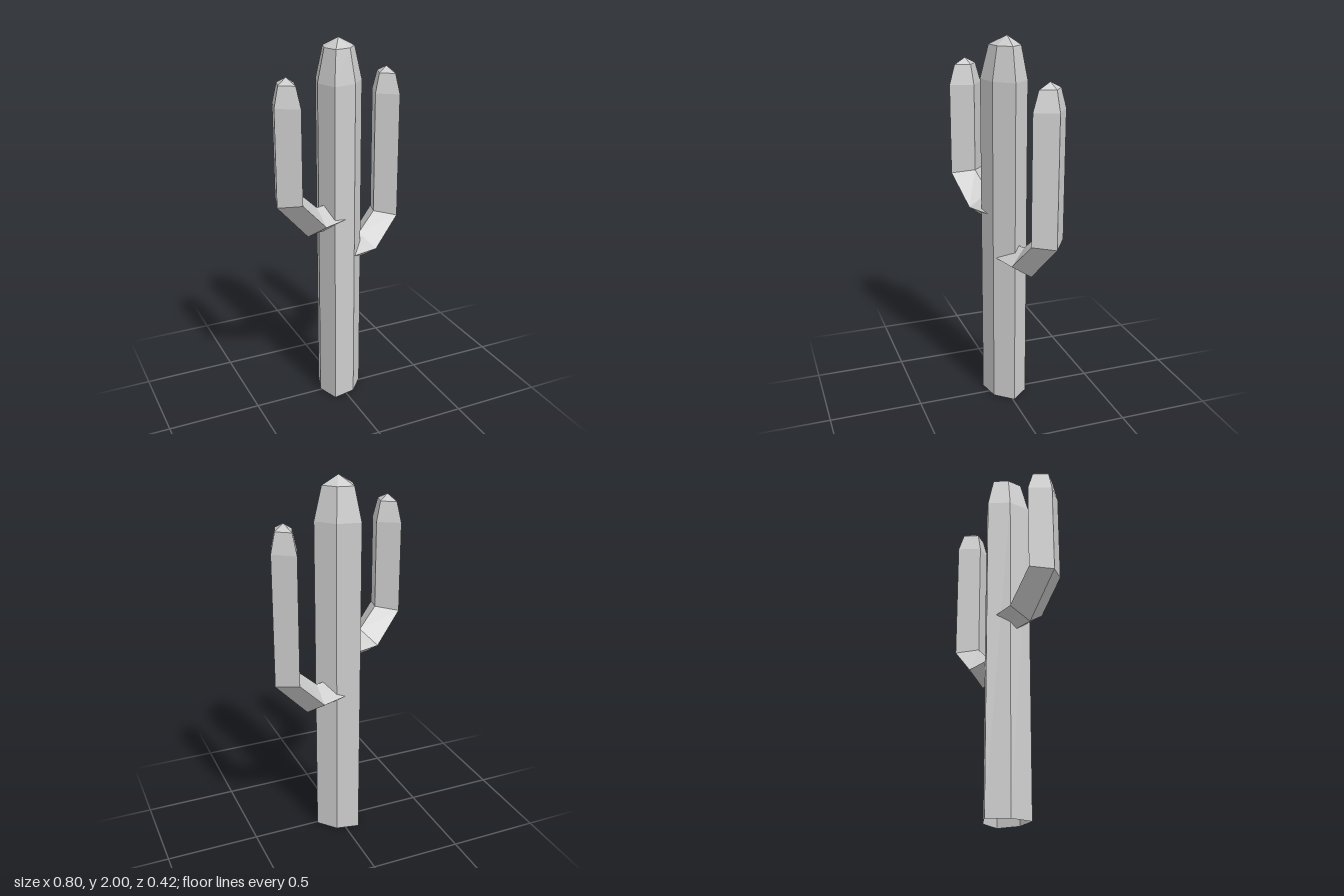
import * as THREE from 'three';

// Skin a stack of equal-length rings, then close the end with a point
function loft(rings, apex) {
  const pos = [];
  const n = rings[0].length;
  for (let k = 0; k < rings.length; k++) {
    const a = rings[k], b = rings[k + 1];
    for (let i = 0; i < n; i++) {
      const j = (i + 1) % n;
      if (b) pos.push(...a[i], ...a[j], ...b[j], ...a[i], ...b[j], ...b[i]);
      else pos.push(...a[i], ...a[j], ...apex);
    }
  }
  const geometry = new THREE.BufferGeometry();
  geometry.setAttribute('position', new THREE.Float32BufferAttribute(pos, 3));
  geometry.computeVertexNormals();
  return geometry;
}

const AXIS_Z = -0.009;

// Uneven six-sided trunk, open at the base
function trunkGeometry() {
  const outline = [[0.132, 0], [0.05, -0.094], [-0.074, -0.119],
    [-0.114, 0], [-0.074, 0.119], [0.05, 0.094]];
  const ring = (y, s) => outline.map(([x, z]) => [x * s, y, AXIS_Z + z * s]);
  return loft([ring(0, 1), ring(1.78, 1), ring(1.953, 0.68)], [0, 2, AXIS_Z]);
}

// Four-sided arm that leaves the trunk along (dx, dz), then turns up
function armGeometry({ dx, dz, elbow, elbowY, reach, bendY, shoulderY }) {
  // s = distance along the arm, w = distance to the side
  const at = (s, y, w) => [dx * s + dz * w, y, AXIS_Z + dz * s - dx * w];
  // ring corners: outer, side, inner, side
  const ring = (s, y, ds, dy, w) => [
    at(s + ds, y - dy, 0), at(s, y, w), at(s - ds, y + dy, 0), at(s, y, -w)];
  return loft([
    ring(0, elbowY, 0, 0.07, 0.095),
    ring(elbow, elbowY, 0.032, 0.073, 0.105),
    ring(reach, bendY, 0.078, 0.016, 0.104),
    ring(reach, shoulderY, 0.078, 0, 0.104),
    ring(reach, shoulderY + 0.105, 0.051, 0, 0.069),
  ], at(reach, shoulderY + 0.138, 0));
}

export function createModel() {
  const grey = new THREE.MeshStandardMaterial({
    color: 0xcccccc, flatShading: true, side: THREE.DoubleSide });
  grey.name = 'plain grey';

  const cactus = new THREE.Group();
  cactus.name = 'cactus';
  const add = (name, geometry) => {
    const mesh = new THREE.Mesh(geometry, grey);
    mesh.name = name;
    cactus.add(mesh);
  };

  add('trunk', trunkGeometry());
  add('leftArm', armGeometry({ dx: 0.955, dz: -0.298, elbow: 0.184, elbowY: 0.843,
    reach: 0.342, bendY: 1.0, shoulderY: 1.677 }));
  add('rightArm', armGeometry({ dx: -0.938, dz: 0.348, elbow: 0.191, elbowY: 1.073,
    reach: 0.351, bendY: 1.232, shoulderY: 1.715 }));
  return cactus;
}
